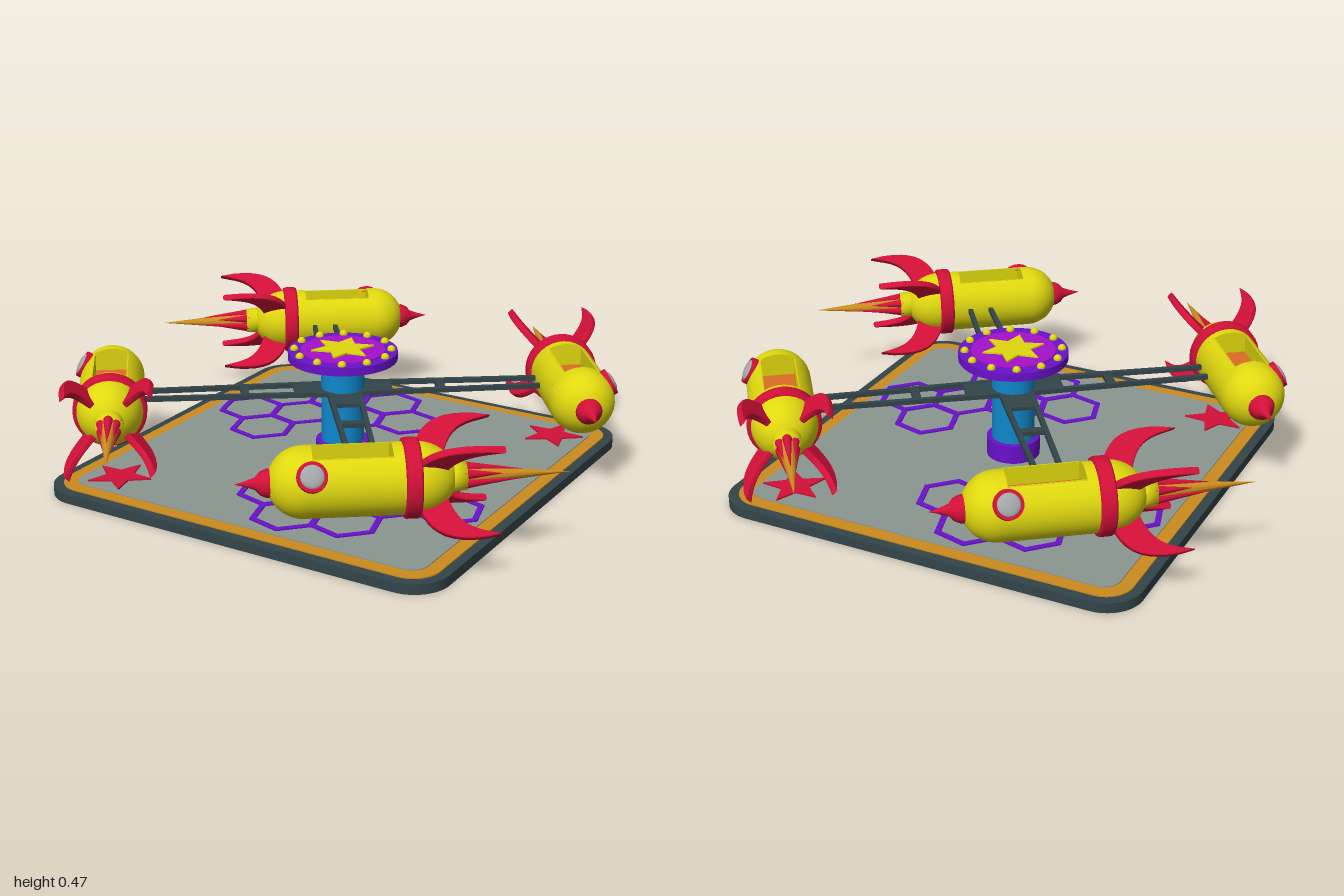
import * as THREE from 'three';

const mat = (name, color, side = THREE.FrontSide) => {
  const m = new THREE.MeshStandardMaterial({ color, side });
  m.name = name;
  return m;
};

export function createModel() {
  const yellow = mat('yellow', 0xe0d80f, THREE.DoubleSide);
  const red = mat('red', 0xd31038);
  const purple = mat('purple', 0x6a10cc);
  const magenta = mat('magenta', 0xa510cc);
  const blue = mat('blue', 0x1088cc);
  const slate = mat('slate', 0x33454b);
  const grey = mat('grey', 0x8c9791);
  const amber = mat('amber', 0xcc8c1e);
  const orange = mat('orange', 0xdd6c25);
  const silver = mat('silver', 0xa4a8a8);

  const model = new THREE.Group();
  model.name = 'rocketRide';
  const add = (parent, name, geo, material, x = 0, y = 0, z = 0) => {
    const m = new THREE.Mesh(geo, material);
    m.name = name;
    m.position.set(x, y, z);
    parent.add(m);
    return m;
  };
  // Flat shape raised upward by h
  const slab = (shape, h) =>
    new THREE.ExtrudeGeometry(shape, { depth: h, bevelEnabled: false, curveSegments: 10 }).rotateX(-Math.PI / 2);
  const roundedSquare = (s, r) => {
    const p = new THREE.Shape();
    p.absarc(s - r, s - r, r, 0, Math.PI / 2);
    p.absarc(r - s, s - r, r, Math.PI / 2, Math.PI);
    p.absarc(r - s, r - s, r, Math.PI, Math.PI * 1.5);
    p.absarc(s - r, r - s, r, Math.PI * 1.5, Math.PI * 2);
    p.closePath();
    return p;
  };
  const ringPoints = (n, radius, start) =>
    Array.from({ length: n }, (_, i) => {
      const a = start + (i / n) * Math.PI * 2;
      const r = radius(i);
      return new THREE.Vector2(Math.cos(a) * r, Math.sin(a) * r);
    });
  const star = (points, outer, inner, start) =>
    new THREE.Shape(ringPoints(points * 2, (i) => (i % 2 ? inner : outer), start));

  // Platform
  add(model, 'platform', slab(roundedSquare(0.772, 0.13), 0.036), slate);
  add(model, 'platformBorder', slab(roundedSquare(0.738, 0.1), 0.004), amber, 0, 0.036);
  add(model, 'platformFloor', slab(roundedSquare(0.69, 0.06), 0.003), grey, 0, 0.04);

  // Hexagon patterns, one on each side of the hub
  const hex = new THREE.Shape(ringPoints(6, () => 0.128, 0.8));
  hex.holes.push(new THREE.Path(ringPoints(6, () => 0.105, 0.8)));
  const hexGeo = slab(hex, 0.006);
  const cells = [[0, 0], [1, 0], [2, 0], [3, 0], [0, 1], [1, 1], [3, -1]];
  for (const s of [1, -1])
    for (const [i, j] of cells)
      add(model, 'floorHexagon', hexGeo, purple,
        s * (-0.04 + i * 0.197 + j * 0.148), 0.042, s * (0.4 - i * 0.057 + j * 0.143));

  // Corner stars
  for (const s of [1, -1])
    add(model, 'floorStar', slab(star(5, 0.115, 0.05, 0.3), 0.006), red, s * 0.57, 0.043, -s * 0.57);

  // Hub
  add(model, 'hubBase', new THREE.CylinderGeometry(0.096, 0.096, 0.07, 32), purple, 0, 0.077);
  add(model, 'hubColumn', new THREE.CylinderGeometry(0.077, 0.077, 0.31, 32), blue, 0, 0.267);
  add(model, 'hubCap', new THREE.CylinderGeometry(0.195, 0.195, 0.03, 40), purple, 0, 0.432);
  add(model, 'hubFace', new THREE.CylinderGeometry(0.15, 0.15, 0.004, 40), magenta, 0, 0.449);
  add(model, 'hubStar', slab(star(6, 0.115, 0.06, 1.83), 0.007), yellow, 0, 0.45);
  for (let i = 0; i < 12; i++) {
    const a = (i / 12) * Math.PI * 2;
    add(model, 'hubStud', new THREE.SphereGeometry(0.015, 12, 8), yellow,
      Math.cos(a) * 0.172, 0.45, Math.sin(a) * 0.172);
  }

  // Rocket pieces run along +x from nose to tail
  const R = 0.115, NOSE = -0.42, OPEN = 0.55;
  const along = (pts, seg = 32) =>
    new THREE.LatheGeometry(pts.map(([a, r]) => new THREE.Vector2(r, a + NOSE)), seg).rotateZ(-Math.PI / 2);
  const spike = (r, from, to) =>
    new THREE.ConeGeometry(r, to - from, 12).rotateZ(-Math.PI / 2).translate((from + to) / 2, 0, 0);

  const buildRocket = () => {
    const g = new THREE.Group();
    g.name = 'rocket';

    // Hull: round front, open cockpit section, tapered rear
    const front = [];
    for (let i = 0; i <= 10; i++) {
      const a = (i / 10) * Math.PI / 2;
      front.push([0.215 - Math.cos(a) * R, Math.sin(a) * R]);
    }
    front.push([0.24, R]);
    add(g, 'hullFront', along(front), yellow);
    add(g, 'hullMiddle',
      new THREE.CylinderGeometry(R, R, 0.25, 36, 1, true, Math.PI * 1.5 + OPEN, Math.PI * 2 - 2 * OPEN)
        .rotateZ(-Math.PI / 2), yellow, 0.365 + NOSE);
    const rear = [[0.49, R], [0.565, R]];
    for (let i = 1; i <= 9; i++) {
      const a = (i / 9) * 1.2;
      rear.push([0.565 + Math.sin(a) * 0.13, Math.cos(a) * R]);
    }
    add(g, 'hullRear', along(rear), yellow);
    add(g, 'nozzle', along([[0.68, 0.042], [0.685, 0.05], [0.725, 0.046], [0.73, 0]], 20), yellow);

    // Cockpit recess
    const w = Math.sin(OPEN) * R, top = Math.cos(OPEN) * R, floorY = 0.032;
    const wall = new THREE.Shape();
    wall.moveTo(-w, floorY);
    wall.lineTo(w, floorY);
    wall.lineTo(w, top);
    wall.absarc(0, 0, R, Math.PI / 2 - OPEN, Math.PI / 2 + OPEN);
    wall.closePath();
    const endWall = new THREE.ExtrudeGeometry(wall, { depth: 0.004, bevelEnabled: false }).rotateY(Math.PI / 2);
    for (const a of [0.236, 0.49]) add(g, 'cockpitEndWall', endWall, yellow, a + NOSE);
    for (const s of [1, -1])
      add(g, 'cockpitSideWall', new THREE.BoxGeometry(0.25, top - floorY, 0.004), yellow,
        0.365 + NOSE, (top + floorY) / 2, s * w);
    add(g, 'cockpitFloor', new THREE.BoxGeometry(0.25, 0.006, 2 * w), orange, 0.365 + NOSE, floorY);

    // Nose tip and band
    add(g, 'noseTip', along([[0, 0], [0.04, 0.011], [0.065, 0.02], [0.08, 0.037], [0.1, 0.046], [0.125, 0.046]], 20), red);
    add(g, 'band', along([[0.523, 0.112], [0.525, 0.124], [0.532, 0.128], [0.568, 0.128], [0.575, 0.124], [0.577, 0.112]], 36), red);

    // Four swept fins set diagonally
    const fin = new THREE.Shape();
    fin.moveTo(0.57 + NOSE, 0.1);
    fin.bezierCurveTo(0.6 + NOSE, 0.19, 0.66 + NOSE, 0.225, 0.815 + NOSE, 0.2);
    fin.bezierCurveTo(0.72 + NOSE, 0.185, 0.68 + NOSE, 0.16, 0.655 + NOSE, 0.07);
    fin.closePath();
    const finGeo = new THREE.ExtrudeGeometry(fin, {
      depth: 0.01, bevelEnabled: true, bevelSize: 0.004, bevelThickness: 0.007, bevelSegments: 2, curveSegments: 10,
    }).translate(0, 0, -0.005);
    for (let i = 0; i < 4; i++)
      add(g, 'fin', finGeo, red).rotation.x = Math.PI / 4 + (i * Math.PI) / 2;

    // Exhaust flame
    add(g, 'flameCore', spike(0.034, 0.72 + NOSE, 1.056 + NOSE), amber);
    for (let i = 0; i < 6; i++) {
      const pivot = new THREE.Group();
      pivot.name = 'flameTongue';
      pivot.rotation.x = (i / 6) * Math.PI * 2;
      g.add(pivot);
      add(pivot, 'tongue', spike(0.017, 0, i % 2 ? 0.13 : 0.19), red, 0.715 + NOSE, 0.03, 0).rotation.z = -0.07;
    }

    // Porthole on the outer shoulder
    const port = new THREE.Group();
    port.name = 'porthole';
    port.position.x = 0.235 + NOSE;
    port.rotation.x = Math.PI / 3;
    g.add(port);
    add(port, 'portholeRim', new THREE.CylinderGeometry(0.048, 0.05, 0.03, 24), red, 0, 0.109);
    add(port, 'portholeGlass', new THREE.SphereGeometry(0.038, 20, 12).scale(1, 0.3, 1), silver, 0, 0.123);
    return g;
  };

  // Four arms, each carrying a rocket
  for (let k = 0; k < 4; k++) {
    const arm = new THREE.Group();
    arm.name = 'armAndRocket';
    arm.position.y = 0.302;
    arm.rotation.y = 0.64 + (k * Math.PI) / 2;
    model.add(arm);
    for (const s of [1, -1]) {
      const bar = add(arm, 'armBar', new THREE.BoxGeometry(0.017, 0.017, 0.7), slate, s * 0.046, 0, 0.41);
      bar.rotation.y = -s * 0.02;
    }
    add(arm, 'armPlate', new THREE.BoxGeometry(0.11, 0.014, 0.12), slate, 0, 0, 0.115);
    add(arm, 'armBrace', new THREE.BoxGeometry(0.09, 0.016, 0.03), slate, 0, 0, 0.35);
    const rocket = buildRocket();
    rocket.position.z = 0.82;
    arm.add(rocket);
  }
  return model;
}
